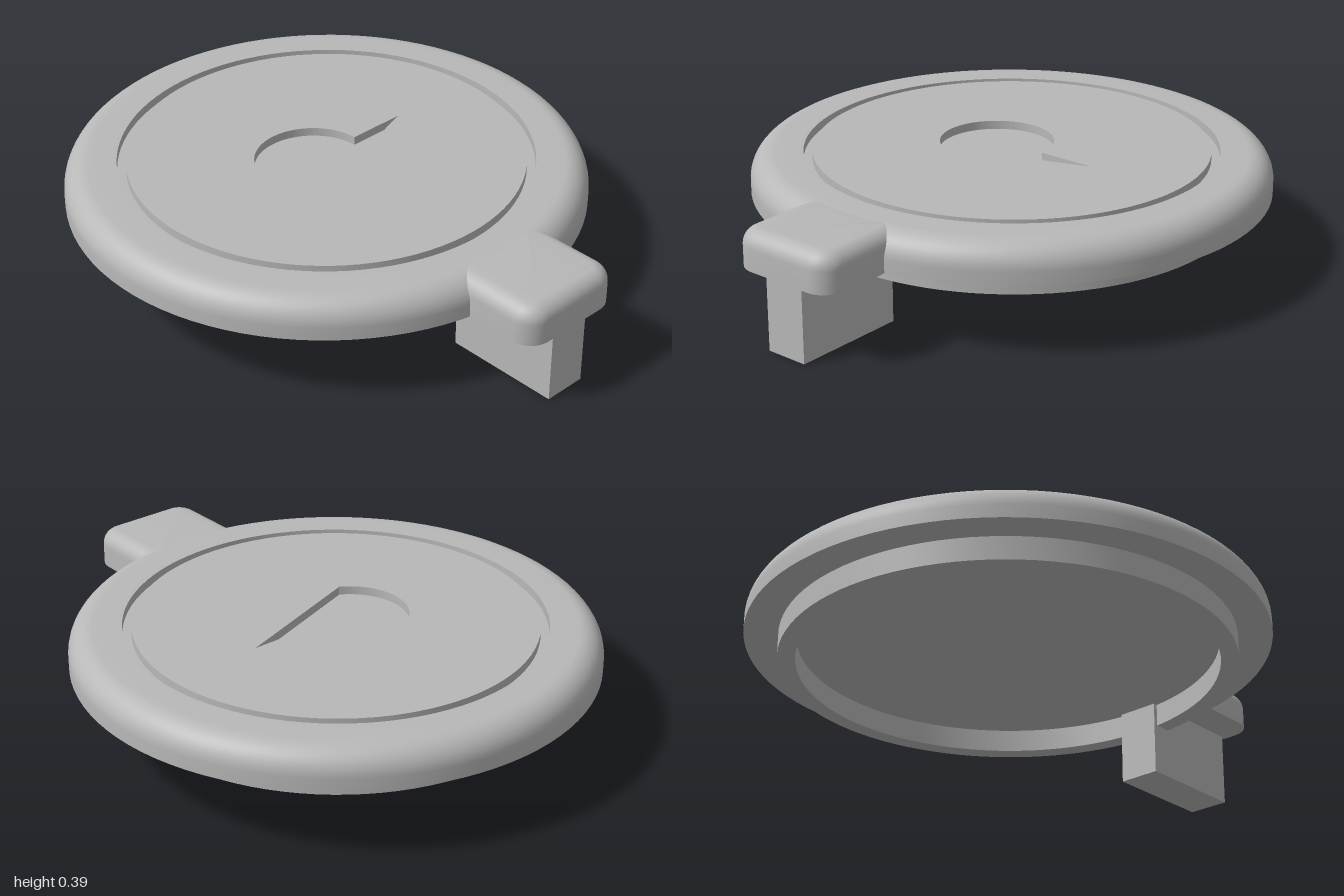
import * as THREE from 'three';
import { toCreasedNormals } from 'three/addons/utils/BufferGeometryUtils.js';

const CX = -0.115;               // disc centre in x
const TOP = 0.39, BASE = 0.26;   // cap plate heights
const FLOOR = 0.36;              // floor of the groove and recess

// Rounded rectangle block with a flat bottom and a filleted top edge
function filletedBlock(x0, x1, halfZ, y0, y1, corner, fillet) {
  const steps = 8, rings = [[0, y0]];
  for (let i = 0; i <= steps; i++) {
    const a = (i / steps) * Math.PI / 2;
    rings.push([fillet * (1 - Math.cos(a)), y1 - fillet + fillet * Math.sin(a)]);
  }
  const pos = [], idx = [], n = 4 * (steps + 1);
  const cx = (x0 + x1) / 2, hx = (x1 - x0) / 2 - corner, hz = halfZ - corner;
  const signs = [[1, 1], [-1, 1], [-1, -1], [1, -1]];
  for (const [inset, y] of rings) {
    signs.forEach(([sx, sz], q) => {
      for (let i = 0; i <= steps; i++) {
        const a = (q + i / steps) * Math.PI / 2, r = corner - inset;
        pos.push(cx + sx * hx + r * Math.cos(a), y, sz * hz + r * Math.sin(a));
      }
    });
  }
  for (let k = 0; k < rings.length - 1; k++) {
    for (let i = 0; i < n; i++) {
      const a = k * n + i, b = k * n + (i + 1) % n;
      idx.push(a, a + n, b, b, a + n, b + n);
    }
  }
  // bottom and top caps
  const last = (rings.length - 1) * n;
  for (let i = 1; i < n - 1; i++) {
    idx.push(0, i, i + 1, last, last + i + 1, last + i);
  }
  const g = new THREE.BufferGeometry();
  g.setAttribute('position', new THREE.Float32BufferAttribute(pos, 3));
  g.setIndex(idx);
  return toCreasedNormals(g, 0.6);
}

export function createModel() {
  const group = new THREE.Group();
  const grey = new THREE.MeshStandardMaterial({ color: 0xb8b8b8 });
  grey.name = 'plain grey';
  const add = (name, geometry, x = 0, y = 0, z = 0) => {
    const mesh = new THREE.Mesh(geometry, grey);
    mesh.name = name;
    mesh.position.set(x, y, z);
    group.add(mesh);
  };

  // Cap: hollow underside, plug ring, filleted rim and groove in one profile
  const R = 0.885, f = 0.085;
  const profile = [[0, BASE], [0.71, BASE], [0.71, 0.18], [0.77, 0.18], [0.77, BASE], [R, BASE]];
  for (let i = 0; i <= 10; i++) {
    const a = (i / 10) * Math.PI / 2;
    profile.push([R - f + f * Math.cos(a), TOP - f + f * Math.sin(a)]);
  }
  profile.push([0.705, TOP], [0.705, FLOOR], [0, FLOOR]);
  const cap = new THREE.LatheGeometry(profile.map(p => new THREE.Vector2(...p)), 96);
  add('cap', toCreasedNormals(cap, 0.6), CX);

  // Raised centre plate with the pointed round recess cut through it
  const plate = new THREE.Shape().absarc(0, 0, 0.675, 0, Math.PI * 2, false);
  const recess = new THREE.Path();
  recess.moveTo(0, 0.13);
  recess.lineTo(0, 0.34);
  recess.lineTo(0.17, -0.16);
  recess.absarc(0, -0.065, 0.195, -0.51, -1.5 * Math.PI, true);
  plate.holes.push(recess);
  const plateGeometry = new THREE.ExtrudeGeometry(plate, {
    depth: TOP - FLOOR, bevelEnabled: false, curveSegments: 48,
  });
  plateGeometry.rotateX(-Math.PI / 2);
  add('centrePlate', toCreasedNormals(plateGeometry, 0.4), CX, FLOOR);

  // Pull tab on the side and the block hanging under it
  add('tab', filletedBlock(0.62, 1, 0.2, BASE, TOP - 0.0005, 0.08, 0.055));
  add('tabBlock', new THREE.BoxGeometry(0.405, 0.27, 0.15), 0.7775, 0.135, 0);

  return group;
}
